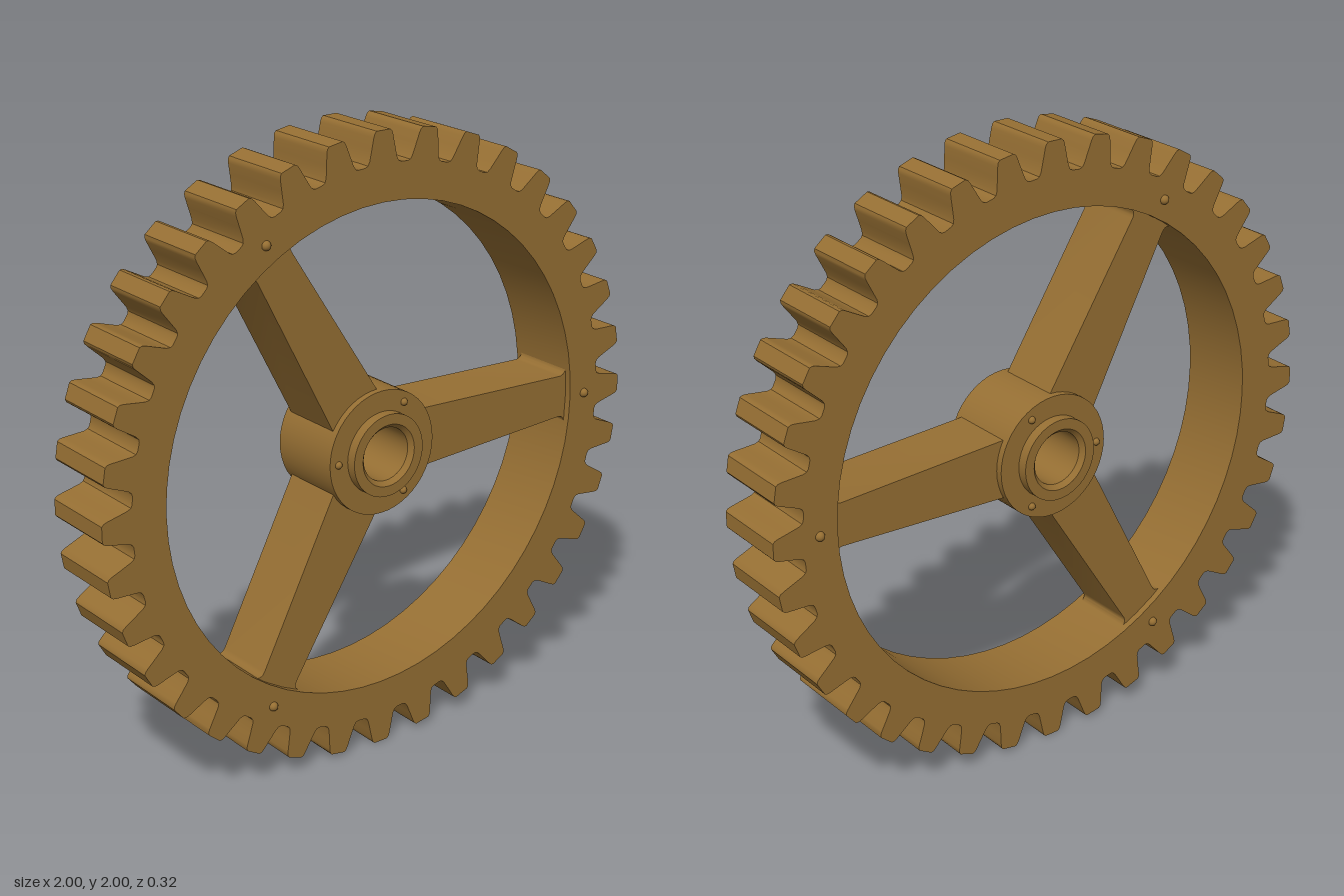
import * as THREE from 'three';
import { toCreasedNormals } from 'three/addons/utils/BufferGeometryUtils.js';

const TEETH = 36;
const RIM_HALF = 0.127;
const SPOKE_HALF = 0.105;

// Half of one tooth: [radius, half width], from root to tip
const TOOTH = [
  [0.9, 0.066], [0.904, 0.057], [0.915, 0.051], [0.95, 0.043],
  [0.982, 0.036], [0.994, 0.032], [1.0, 0.025],
];

const polar = (r, a) => new THREE.Vector2(r * Math.cos(a), r * Math.sin(a));

function extrudeCentred(shape, half, curveSegments = 12) {
  const geo = new THREE.ExtrudeGeometry(shape, { depth: half * 2, bevelEnabled: false, curveSegments });
  geo.translate(0, 0, -half);
  return toCreasedNormals(geo, 0.6);
}

// Toothed ring with a round opening
function rimGeometry() {
  const outline = [];
  for (let i = 0; i < TEETH; i++) {
    const a = (i / TEETH) * Math.PI * 2;
    for (const [r, w] of TOOTH) outline.push(polar(r, a - w / r));
    for (const [r, w] of [...TOOTH].reverse()) outline.push(polar(r, a + w / r));
  }
  const shape = new THREE.Shape(outline);
  shape.holes.push(new THREE.Path().absarc(0, 0, 0.785, 0, Math.PI * 2, true));
  return extrudeCentred(shape, RIM_HALF, 32);
}

// Tapered arm along +x that flares where it meets the rim
function spokeGeometry() {
  const s = new THREE.Shape();
  s.moveTo(0.14, -0.098);
  s.lineTo(0.755, -0.07);
  s.quadraticCurveTo(0.779, -0.07, 0.781, -0.096);
  s.lineTo(0.8, -0.096);
  s.lineTo(0.8, 0.096);
  s.lineTo(0.781, 0.096);
  s.quadraticCurveTo(0.779, 0.07, 0.755, 0.07);
  s.lineTo(0.14, 0.098);
  s.closePath();
  return extrudeCentred(s, SPOKE_HALF, 5);
}

// Bored hub with a raised collar on both sides and a chamfered bore
function hubGeometry() {
  const half = [[0.2, RIM_HALF], [0.133, RIM_HALF], [0.133, 0.16], [0.1, 0.16], [0.086, 0.145]];
  const profile = [
    [0.2, -RIM_HALF],
    ...half,
    ...[...half].reverse().map(([r, z]) => [r, -z]),
  ].map(([r, z]) => new THREE.Vector2(r, z));
  const geo = new THREE.LatheGeometry(profile, 48);
  geo.rotateX(Math.PI / 2);
  return toCreasedNormals(geo, 0.6);
}

export function createModel() {
  const wood = new THREE.MeshStandardMaterial({ color: 0x966f33 });
  wood.name = 'brown';

  const model = new THREE.Group();
  model.name = 'gearWheel';
  const add = (name, geo) => {
    const mesh = new THREE.Mesh(geo, wood);
    mesh.name = name;
    model.add(mesh);
    return mesh;
  };

  add('toothedRim', rimGeometry()).position.y = 1;
  add('hub', hubGeometry()).position.y = 1;

  const spoke = spokeGeometry();
  const rimRivet = new THREE.SphereGeometry(0.015, 14, 10);
  const hubRivet = new THREE.SphereGeometry(0.012, 14, 10);

  for (let i = 0; i < 3; i++) {
    const a = (i / 3) * Math.PI * 2;
    const arm = add('spoke', spoke);
    arm.position.y = 1;
    arm.rotation.z = a;

    // Rivets on both faces: in line with spokes on the rim, between them on the hub
    for (const side of [-1, 1]) {
      const p = polar(0.845, a);
      add('rimRivet', rimRivet).position.set(p.x, 1 + p.y, side * RIM_HALF);
      const q = polar(0.168, a + Math.PI / 3);
      add('hubRivet', hubRivet).position.set(q.x, 1 + q.y, side * RIM_HALF);
    }
  }
  return model;
}
